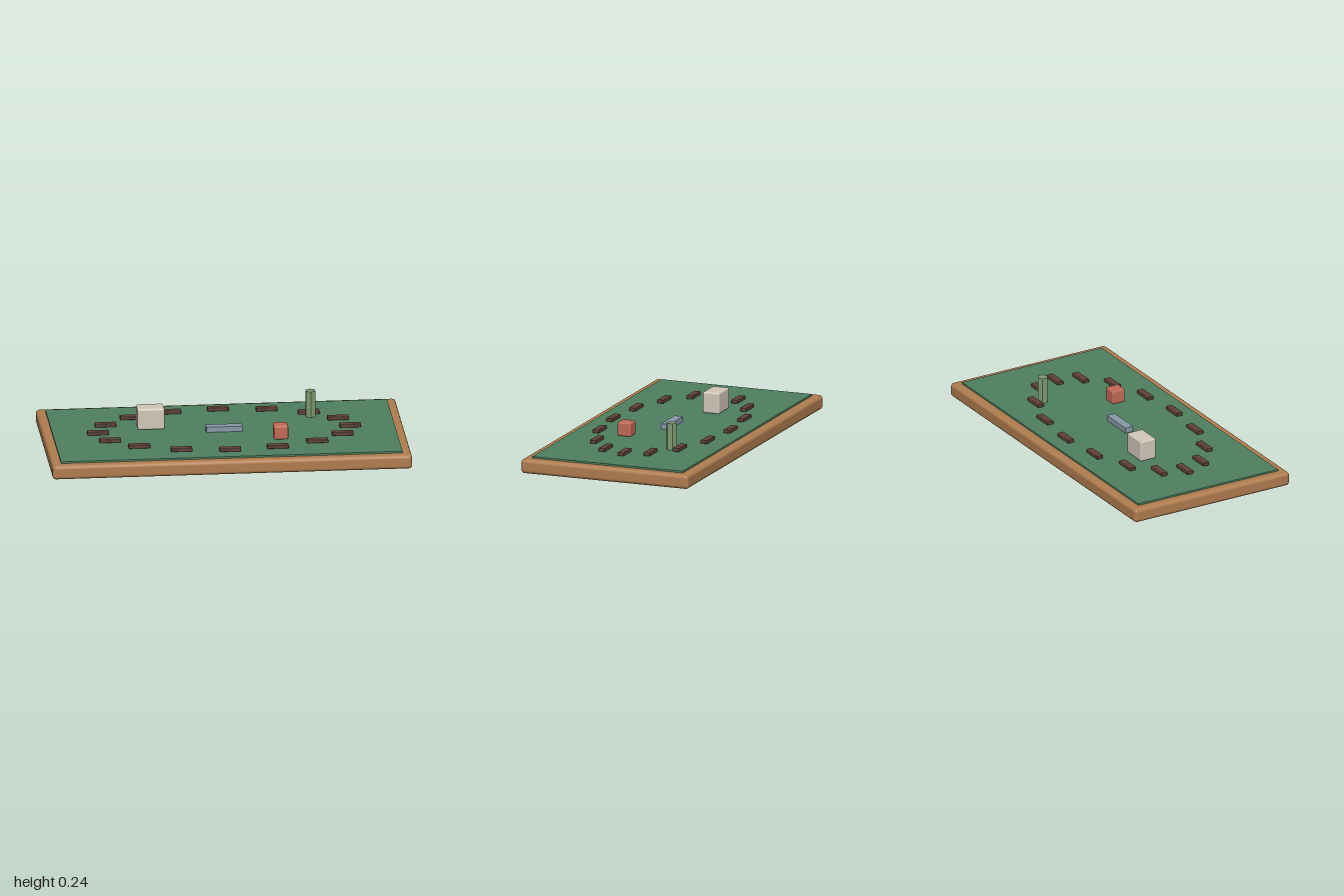
import * as THREE from 'three';
import { RoundedBoxGeometry } from 'three/addons/geometries/RoundedBoxGeometry.js';

const TOP = 0.09; // height of the green surface

export function createModel() {
  const model = new THREE.Group();
  model.name = 'tabletopLayout';

  const paint = (color, flatShading = false) => new THREE.MeshStandardMaterial({ color, flatShading });
  const add = (name, geometry, material, x, y, z, parent = model) => {
    const mesh = new THREE.Mesh(geometry, material);
    mesh.name = name;
    mesh.position.set(x, y, z);
    parent.add(mesh);
    return mesh;
  };

  // Wooden base board and the green mat laid on it
  add('baseBoard', new RoundedBoxGeometry(2, 0.08, 1, 3, 0.02), paint(0xb07d4f), 0, 0.04, 0);
  add('greenMat', new THREE.BoxGeometry(1.9, 0.01, 0.9), paint(0x4f8060), 0, TOP - 0.005, 0);

  // Sleepers set around an oval, all parallel to x
  const sleepers = new THREE.Group();
  sleepers.name = 'sleepers';
  model.add(sleepers);
  const sleeperGeometry = new RoundedBoxGeometry(0.12, 0.02, 0.04, 2, 0.004);
  const sleeperPaint = paint(0x5f4238);
  const count = 16;
  for (let i = 0; i < count; i++) {
    const a = (i / count) * Math.PI * 2;
    add('sleeper', sleeperGeometry, sleeperPaint, 0.7 * Math.cos(a), TOP + 0.01, 0.35 * Math.sin(a), sleepers);
  }

  // Buildings
  add('largeBuilding', new RoundedBoxGeometry(0.15, 0.12, 0.1, 3, 0.01), paint(0xd2c8ba), -0.4, TOP + 0.06, -0.1);
  add('smallBuilding', new RoundedBoxGeometry(0.08, 0.08, 0.08, 3, 0.01), paint(0xc06a56), 0.3, TOP + 0.04, 0.15);

  // Low platform in the middle
  add('platform', new THREE.BoxGeometry(0.2, 0.03, 0.05), paint(0x8799a8), 0, TOP + 0.015, 0);

  // Six-sided green post
  add('post', new THREE.CylinderGeometry(0.03, 0.03, 0.15, 6), paint(0x7f9c72, true), 0.5, TOP + 0.075, -0.2);

  return model;
}
